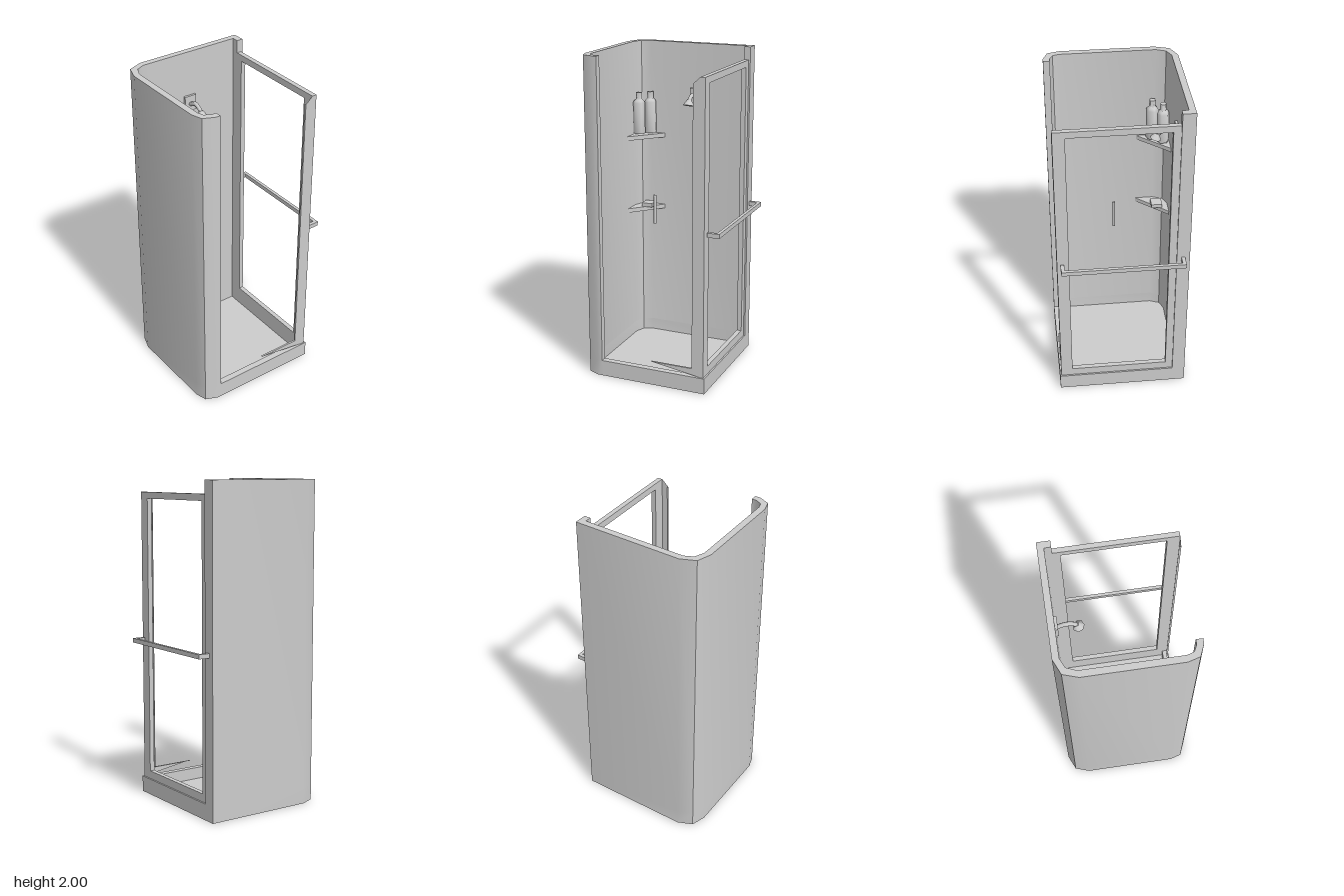
import * as THREE from 'three';
import { toCreasedNormals } from 'three/addons/utils/BufferGeometryUtils.js';

const grey = new THREE.MeshStandardMaterial({ color: 0xcccccc, side: THREE.DoubleSide });
grey.name = 'lightGrey';

const shapeOf = (pts) => new THREE.Shape(pts.map(([a, b]) => new THREE.Vector2(a, b)));

// Floor-plan outline given as [x, z], laid flat
const planShape = (pts) => shapeOf(pts.map(([x, z]) => [x, -z]));
const flat = (shape, y) => new THREE.ShapeGeometry(shape).rotateX(-Math.PI / 2).translate(0, y, 0);

function extrudeUp(shape, y, height) {
  const g = new THREE.ExtrudeGeometry(shape, { depth: height, bevelEnabled: false });
  g.rotateX(-Math.PI / 2).translate(0, y, 0);
  return toCreasedNormals(g, 0.7);
}

// Upright band following a closed plan outline
function band(pts, y0, y1) {
  const v = [];
  pts.forEach(([ax, az], i) => {
    const [bx, bz] = pts[(i + 1) % pts.length];
    v.push(ax, y0, az, ax, y1, az, bx, y1, bz, ax, y0, az, bx, y1, bz, bx, y0, bz);
  });
  const g = new THREE.BufferGeometry();
  g.setAttribute('position', new THREE.Float32BufferAttribute(v, 3));
  return toCreasedNormals(g, 0.7);
}

export function createModel() {
  const model = new THREE.Group();
  model.name = 'showerCabin';

  const add = (name, geometry, parent = model) => {
    const mesh = new THREE.Mesh(geometry, grey);
    mesh.name = name;
    parent.add(mesh);
    return mesh;
  };
  // Box from its lower and upper corners
  const box = (name, a, b, parent) => {
    const mesh = add(name, new THREE.BoxGeometry(b[0] - a[0], b[1] - a[1], b[2] - a[2]), parent);
    mesh.position.set((a[0] + b[0]) / 2, (a[1] + b[1]) / 2, (a[2] + b[2]) / 2);
    return mesh;
  };

  // Walls with bevelled corners
  const outer = [[0.365, -0.404], [-0.32, -0.404], [-0.41, -0.365], [-0.44, -0.275],
    [-0.44, 0.3], [-0.42, 0.37], [-0.35, 0.4], [-0.32, 0.4]];
  const inner = [[-0.32, 0.36], [-0.35, 0.36], [-0.388, 0.34], [-0.4, 0.3], [-0.4, -0.28],
    [-0.375, -0.34], [-0.32, -0.365], [0.325, -0.365]];
  const post = [[0.325, -0.325], [0.365, -0.325]];
  add('walls', extrudeUp(planShape([...outer, ...inner, ...post]), 0.1, 1.9));

  // Tray: sunken floor, hollow rim open at the bottom, sill across the open sides
  const tray = new THREE.Group();
  tray.name = 'tray';
  model.add(tray);
  const trayInner = [...inner, [0.325, 0.36]];
  add('trayFloor', flat(planShape(trayInner), 0.025), tray);
  add('trayOuterSkirt', band([...outer, [0.365, 0.4]], 0, 0.1), tray);
  add('trayInnerSkirt', band(trayInner.toReversed(), 0.025, 0.1), tray);
  const sill = [[-0.32, 0.4], [0.365, 0.4], [0.365, -0.325], [0.325, -0.325], [0.325, 0.36], [-0.32, 0.36]];
  add('traySill', flat(planShape(sill), 0.1), tray);

  // Side door frame
  const frame = shapeOf([[-0.392, 0.1], [0.325, 0.1], [0.325, 1.92], [-0.392, 1.92]]);
  frame.holes.push(shapeOf([[-0.32, 0.15], [-0.32, 1.88], [0.28, 1.88], [0.28, 0.15]]));
  const door = new THREE.ExtrudeGeometry(frame, { depth: 0.03, bevelEnabled: false });
  add('doorFrame', door.rotateY(Math.PI / 2).translate(0.325, 0, 0));

  // Front post with its tapering sill
  const frontPost = shapeOf([[0.01, 0.15], [0.34, 0.1], [0.354, 0.1], [0.354, 1.92],
    [0.325, 1.92], [0.28, 1.88], [0.28, 0.15]]);
  add('frontPost', new THREE.ShapeGeometry(frontPost).translate(0, 0, 0.392));
  box('frontPostLedge', [0.01, 0.149, 0.38], [0.28, 0.15, 0.392]);
  box('frontPostEdge', [0.28, 0.15, 0.38], [0.281, 1.88, 0.392]);

  // Door handle
  const handle = new THREE.Group();
  handle.name = 'doorHandle';
  model.add(handle);
  box('handleBar', [0.42, 0.985, -0.374], [0.44, 1.012, 0.37], handle);
  for (const z of [-0.374, 0.35]) box('handleBracket', [0.365, 0.985, z], [0.42, 1.012, z + 0.022], handle);

  // Small upright grip
  add('grip', toCreasedNormals(new THREE.CylinderGeometry(0.012, 0.012, 0.185, 3), 0.5))
    .position.set(-0.136, 0.998, 0);

  // Corner shelves
  const shelf = [[-0.4, -0.167], [-0.4, -0.28], [-0.375, -0.34], [-0.32, -0.365], [-0.226, -0.365]];
  for (const y of [0.898, 1.378]) add('cornerShelf', extrudeUp(planShape(shelf), y, 0.027));

  // Soap on the lower shelf
  box('soap', [-0.345, 0.925, -0.328], [-0.273, 0.95, -0.258]);

  // Bottles on the upper shelf
  const profile = [[0, 0], [0.039, 0], [0.039, 0.198], [0.032, 0.212], [0.02, 0.222], [0.02, 0.265], [0, 0.265]]
    .map(([r, y]) => new THREE.Vector2(r, y));
  for (const [x, z, turn] of [[-0.308, -0.322, 0.15], [-0.36, -0.262, -0.25]]) {
    const bottle = add('bottle', toCreasedNormals(new THREE.LatheGeometry(profile, 6), 1.1));
    bottle.position.set(x, 1.415, z);
    bottle.rotation.y = turn;
  }

  // Shower head on its wall plate
  const shower = new THREE.Group();
  shower.name = 'shower';
  model.add(shower);
  box('wallPlate', [-0.045, 1.615, -0.365], [0.035, 1.715, -0.35], shower);
  const armPath = new THREE.CatmullRomCurve3([
    new THREE.Vector3(-0.005, 1.66, -0.352),
    new THREE.Vector3(-0.005, 1.68, -0.3),
    new THREE.Vector3(-0.005, 1.664, -0.255),
    new THREE.Vector3(-0.005, 1.64, -0.238),
  ]);
  add('showerArm', new THREE.TubeGeometry(armPath, 8, 0.014, 6), shower);
  const head = add('showerHead', toCreasedNormals(new THREE.CylinderGeometry(0.014, 0.036, 0.036, 7), 1.0), shower);
  head.position.set(-0.005, 1.642, -0.238);
  head.rotation.x = -0.3;

  return model;
}
